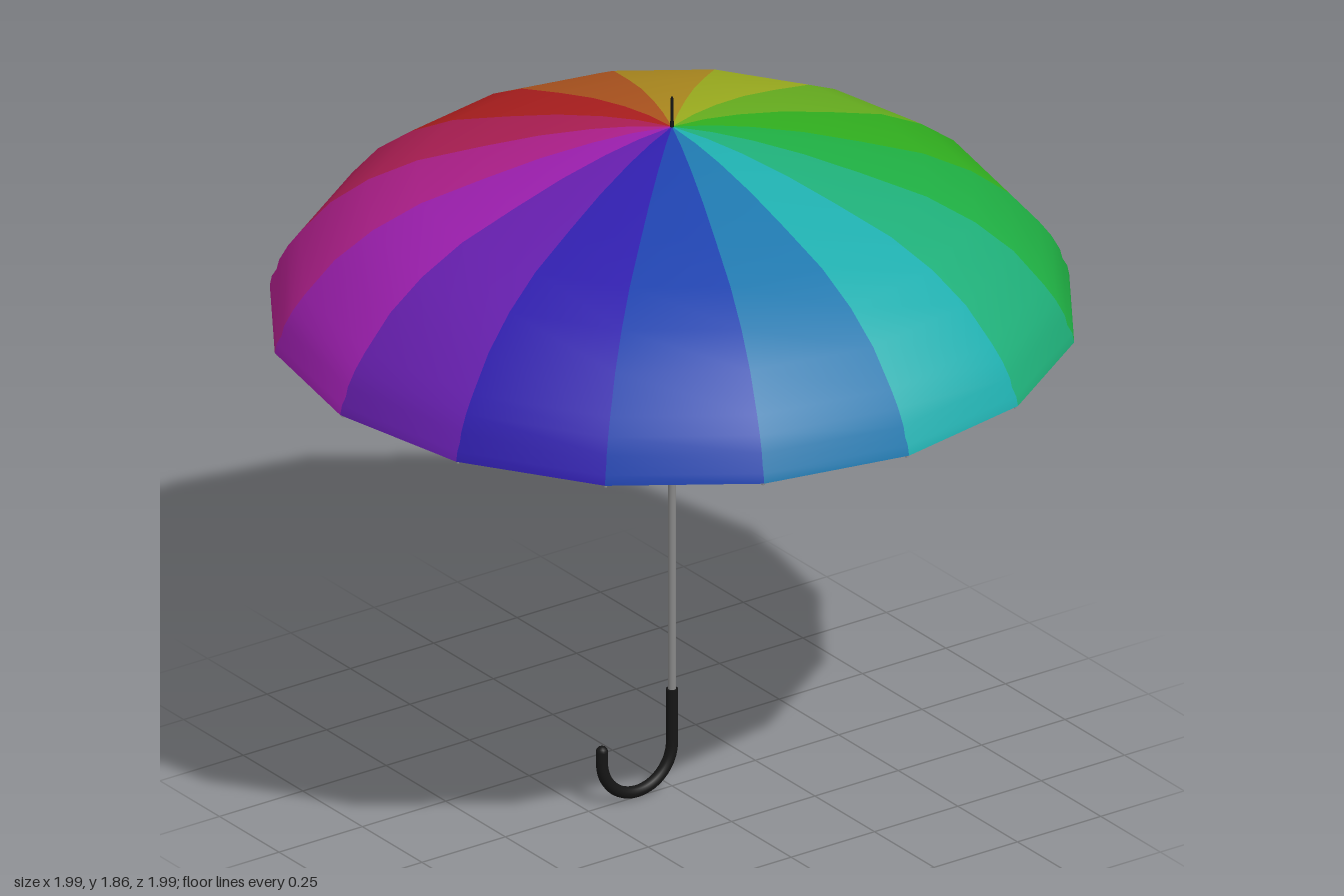
import * as THREE from 'three';

const PANELS = 16;
const STEP = (Math.PI * 2) / PANELS;

// Canopy section from rim to crown: radius, height
const PROFILE = [
  [0.995, 1.275], [0.99, 1.3], [0.978, 1.32], [0.972, 1.345], [0.95, 1.385], [0.92, 1.425],
  [0.845, 1.51], [0.75, 1.58], [0.63, 1.64], [0.47, 1.69], [0.33, 1.73], [0.2, 1.758],
  [0.1, 1.773], [0, 1.78],
].map(([r, y]) => new THREE.Vector2(r, y));

const material = (color) => new THREE.MeshStandardMaterial({ color });

function add(parent, name, geometry, mat, y = 0) {
  const mesh = new THREE.Mesh(geometry, mat);
  mesh.name = name;
  mesh.position.y = y;
  parent.add(mesh);
  return mesh;
}

// Straight round bar between two points
function bar(a, b, radius) {
  return new THREE.TubeGeometry(new THREE.LineCurve3(a, b), 1, radius, 6);
}

export function createModel() {
  const model = new THREE.Group();
  model.name = 'umbrella';
  const metal = material(0x888888);
  const black = material(0x151515);

  // Canopy: one flat-sided gore per hue
  const canopy = new THREE.Group();
  canopy.name = 'canopy';
  model.add(canopy);
  for (let k = 0; k < PANELS; k++) {
    const cloth = new THREE.MeshStandardMaterial({ side: THREE.DoubleSide });
    cloth.color.setHSL(((k + 1) % PANELS) / PANELS, 0.7, 0.4, THREE.SRGBColorSpace);
    const gore = new THREE.LatheGeometry(PROFILE, 1, Math.PI - (k + 1) * STEP, STEP);
    add(canopy, 'canopyPanel', gore, cloth);
  }

  // Ribs follow the seams just under the cloth; stretchers join them to the runner
  const frame = new THREE.Group();
  frame.name = 'frame';
  model.add(frame);
  const ribCurve = new THREE.CatmullRomCurve3(
    PROFILE.map((p) => new THREE.Vector3(p.x * 0.992, p.y - 0.007, 0)));
  const ribGeometry = new THREE.TubeGeometry(ribCurve, 32, 0.004, 6);
  const stretcherGeometry = bar(
    new THREE.Vector3(0.012, 1.42, 0), new THREE.Vector3(0.33, 1.72, 0), 0.002);
  for (let k = 0; k < PANELS; k++) {
    add(frame, 'rib', ribGeometry, metal).rotation.y = k * STEP;
    add(frame, 'stretcher', stretcherGeometry, black).rotation.y = k * STEP;
  }

  // Shaft, tip, crown hub and sliding runner
  add(model, 'shaft', new THREE.CylinderGeometry(0.01, 0.01, 1.54, 16), metal, 1.0);
  add(model, 'tip', new THREE.CylinderGeometry(0.003, 0.005, 0.1, 12), black, 1.81);
  add(model, 'hub', new THREE.CylinderGeometry(0.018, 0.018, 0.03, 16), metal, 1.752);
  add(model, 'runner', new THREE.CylinderGeometry(0.015, 0.015, 0.04, 16), black, 1.41);

  // Hooked handle
  const handle = new THREE.Group();
  handle.name = 'handle';
  model.add(handle);
  const R = 0.105, cy = 0.12, grip = 0.015;
  const top = new THREE.Vector3(0, 0.26, 0);
  const end = new THREE.Vector3(-2 * R, 0.15, 0);
  const path = new THREE.CurvePath();
  path.add(new THREE.LineCurve3(top, new THREE.Vector3(0, cy, 0)));
  const arc = [];
  for (let i = 0; i <= 24; i++) {
    const a = (-Math.PI * i) / 24;
    arc.push(new THREE.Vector3(-R + R * Math.cos(a), cy + R * Math.sin(a), 0));
  }
  path.add(new THREE.CatmullRomCurve3(arc));
  path.add(new THREE.LineCurve3(arc[24], end));
  add(handle, 'hook', new THREE.TubeGeometry(path, 64, grip, 16), black);
  add(handle, 'gripTop', new THREE.CylinderGeometry(grip, grip, 0.006, 16), black, 0.26);
  add(handle, 'hookEnd', new THREE.SphereGeometry(grip, 16, 10), black).position.copy(end);

  return model;
}
